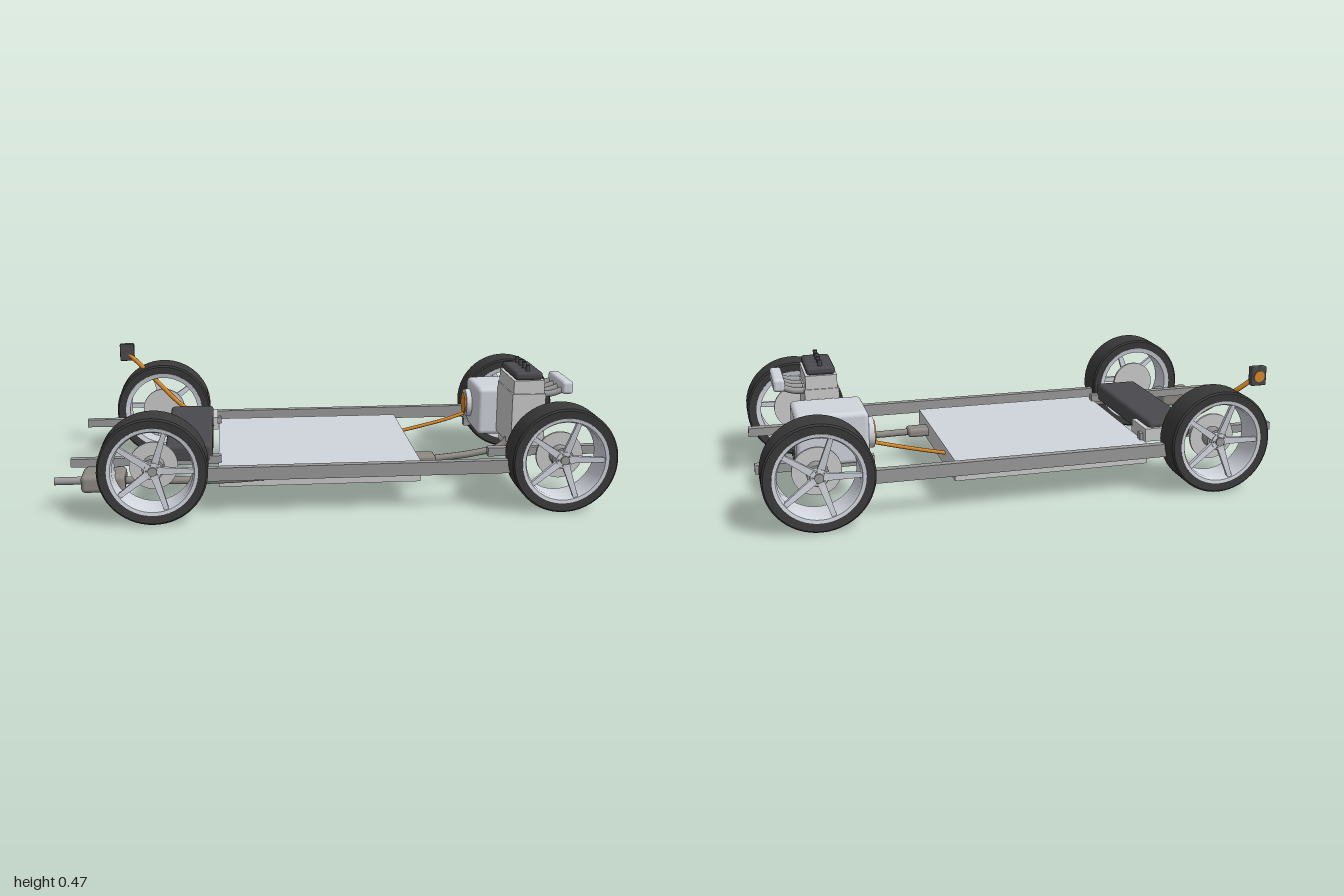
import * as THREE from 'three';
import { toCreasedNormals } from 'three/addons/utils/BufferGeometryUtils.js';
import { RoundedBoxGeometry } from 'three/addons/geometries/RoundedBoxGeometry.js';

const mat = (color) => new THREE.MeshStandardMaterial({ color });
const grey = mat(0xcccccc), steel = mat(0x9a9a9a), silver = mat(0xd0d4dc);
const dark = mat(0x4a4a4e), rubber = mat(0x3a3a3a), orange = mat(0xd8892a), pipeGrey = mat(0x8e8a84);

function add(parent, name, geometry, material, x = 0, y = 0, z = 0) {
  const m = new THREE.Mesh(geometry, material);
  m.name = name;
  m.position.set(x, y, z);
  parent.add(m);
  return m;
}

// Box given by its limits on each axis; r rounds the edges
function block(parent, name, [x0, x1], [y0, y1], [z0, z1], material, r = 0) {
  const size = [x1 - x0, y1 - y0, z1 - z0];
  const geo = r ? new RoundedBoxGeometry(...size, 3, r) : new THREE.BoxGeometry(...size);
  return add(parent, name, geo, material, (x0 + x1) / 2, (y0 + y1) / 2, (z0 + z1) / 2);
}

// Cylinder lying along x, y or z
function rod(parent, name, axis, r, length, material, x, y, z, sides = 24) {
  const geo = new THREE.CylinderGeometry(r, r, length, sides);
  if (axis === 'x') geo.rotateZ(Math.PI / 2);
  if (axis === 'z') geo.rotateX(Math.PI / 2);
  return add(parent, name, geo, material, x, y, z);
}

function tube(parent, name, points, r, material) {
  const curve = new THREE.CatmullRomCurve3(points.map((p) => new THREE.Vector3(...p)), false, 'centripetal');
  return add(parent, name, new THREE.TubeGeometry(curve, 40, r, 10), material);
}

// Ring turned about z from a closed (radius, z) profile
function turned(parent, name, profile, material) {
  const pts = [...profile, profile[0]].map(([r, z]) => new THREE.Vector2(r, z));
  const geo = new THREE.LatheGeometry(pts, 56);
  geo.rotateX(Math.PI / 2);
  return add(parent, name, toCreasedNormals(geo, 0.6), material);
}

// Wheel with its outer face towards +z
function makeWheel() {
  const wheel = new THREE.Group();
  wheel.name = 'wheel';
  turned(wheel, 'tyre', [[0.153, -0.058], [0.184, -0.061], [0.19, -0.055], [0.19, 0.055], [0.184, 0.061], [0.153, 0.058]], rubber);
  turned(wheel, 'rim', [[0.138, -0.056], [0.156, -0.06], [0.156, 0.06], [0.144, 0.058], [0.138, 0.045]], silver);
  // Five tapering spokes, sloping inwards to the hub
  const shape = new THREE.Shape([[0.02, -0.013], [0.147, -0.008], [0.147, 0.008], [0.02, 0.013]].map((p) => new THREE.Vector2(...p)));
  for (let i = 0; i < 5; i++) {
    const geo = new THREE.ExtrudeGeometry(shape, { depth: 0.014, bevelEnabled: false });
    const pos = geo.attributes.position;
    for (let k = 0; k < pos.count; k++) pos.setZ(k, pos.getZ(k) + 0.026 + 0.1 * pos.getX(k));
    geo.computeVertexNormals();
    add(wheel, 'spoke', geo, silver).rotation.z = (i * Math.PI * 2) / 5;
  }
  rod(wheel, 'hub', 'z', 0.03, 0.026, silver, 0, 0, 0.033);
  rod(wheel, 'hubCap', 'z', 0.016, 0.008, steel, 0, 0, 0.049);
  for (let i = 0; i < 5; i++) {
    const a = ((i + 0.5) * Math.PI * 2) / 5;
    rod(wheel, 'wheelNut', 'z', 0.004, 0.006, steel, 0.022 * Math.cos(a), 0.022 * Math.sin(a), 0.047, 6);
  }
  rod(wheel, 'brakeDisc', 'z', 0.085, 0.01, grey, 0, 0, -0.028, 40);
  rod(wheel, 'brakeHub', 'z', 0.038, 0.05, steel, 0, 0, 0);
  return wheel;
}

function addEngine(model) {
  const engine = new THREE.Group();
  engine.name = 'engine';
  model.add(engine);
  block(engine, 'engineBlock', [0.67, 0.795], [0.17, 0.37], [-0.018, 0.216], grey);
  block(engine, 'cylinderHead', [0.675, 0.79], [0.37, 0.42], [-0.013, 0.21], grey);
  block(engine, 'oilPan', [0.68, 0.785], [0.135, 0.17], [-0.013, 0.206], grey);
  block(engine, 'valveCover', [0.68, 0.785], [0.42, 0.45], [-0.01, 0.206], dark, 0.012);
  block(engine, 'intakePlenum', [0.862, 0.905], [0.362, 0.411], [0.002, 0.2], silver, 0.012);
  for (const z of [0.175, 0.122, 0.069, 0.016]) {
    rod(engine, 'ignitionCoil', 'y', 0.008, 0.03, dark, 0.733, 0.457, z, 16);
    tube(engine, 'intakeRunner', [[0.78, 0.36, z], [0.83, 0.363, z], [0.875, 0.378, z]], 0.012, steel);
  }
  rod(engine, 'crankPulley', 'z', 0.034, 0.018, steel, 0.733, 0.225, 0.22);
}

function addDriveUnit(model) {
  const unit = new THREE.Group();
  unit.name = 'driveUnit';
  model.add(unit);
  block(unit, 'motorHousing', [0.595, 0.852], [0.15, 0.338], [-0.246, -0.022], silver, 0.018);
  rod(unit, 'motorEnd', 'x', 0.056, 0.035, silver, 0.592, 0.243, -0.18, 32);
  rod(unit, 'copperWinding', 'x', 0.042, 0.008, orange, 0.573, 0.243, -0.18, 32);
  rod(unit, 'motorShaft', 'z', 0.009, 0.04, steel, 0.633, 0.248, -0.262);
  // Toothed drive gear
  rod(unit, 'driveGear', 'z', 0.044, 0.016, dark, 0.812, 0.173, -0.157, 32);
  for (let i = 0; i < 20; i++) {
    const a = (i * Math.PI) / 10;
    const tooth = add(unit, 'gearTooth', new THREE.BoxGeometry(0.01, 0.007, 0.016), dark,
      0.812 + 0.045 * Math.cos(a), 0.173 + 0.045 * Math.sin(a), -0.157);
    tooth.rotation.z = a;
  }
}

export function createModel() {
  const model = new THREE.Group();
  model.name = 'hybridChassis';

  // Wheels, two per axle, with dark drive shaft boots at the front
  for (const s of [1, -1]) {
    for (const x of [-0.645, 0.8]) {
      const wheel = makeWheel();
      wheel.position.set(x, 0.19, s * 0.426);
      if (s < 0) wheel.rotation.y = Math.PI;
      model.add(wheel);
    }
    rod(model, 'shaftBoot', 'z', 0.025, 0.05, dark, 0.8, 0.19, s * 0.352);

    // Frame rails
    block(model, 'sillRail', [-0.48, 0.635], [0.13, 0.178], [s * 0.4 - 0.014, s * 0.4 + 0.014], steel);
    block(model, 'rearRail', [-0.945, -0.41], [0.155, 0.185], [s * 0.273 - 0.014, s * 0.273 + 0.014], steel);
    block(model, 'frontRail', [0.58, 0.997], [0.14, 0.172], [s * 0.221 - 0.016, s * 0.221 + 0.016], steel);
  }
  rod(model, 'driveShaft', 'z', 0.009, 0.74, grey, 0.8, 0.192, 0);

  // Battery pack, fuel tank and charger
  block(model, 'batteryTray', [-0.42, 0.31], [0.083, 0.15], [-0.335, 0.335], grey);
  block(model, 'batteryLid', [-0.42, 0.31], [0.15, 0.159], [-0.335, 0.335], silver);
  block(model, 'fuelTank', [-0.61, -0.44], [0.158, 0.228], [-0.295, 0.288], dark, 0.016);
  block(model, 'charger', [-0.53, -0.422], [0.158, 0.207], [-0.309, -0.17], grey);

  addEngine(model);
  addDriveUnit(model);

  // Charging socket and high voltage cables
  const port = new THREE.Group();
  port.name = 'chargePort';
  port.position.set(-0.792, 0.423, -0.45);
  add(port, 'portHousing', new RoundedBoxGeometry(0.058, 0.07, 0.028, 2, 0.004), dark);
  rod(port, 'portSocket', 'z', 0.02, 0.008, orange, 0, 0, -0.014);
  model.add(port);
  tube(model, 'chargeCable', [[-0.785, 0.415, -0.445], [-0.74, 0.375, -0.425], [-0.64, 0.285, -0.36], [-0.58, 0.235, -0.315], [-0.52, 0.195, -0.28]], 0.009, orange);
  tube(model, 'motorCable', [[0.29, 0.13, -0.165], [0.4, 0.155, -0.165], [0.5, 0.18, -0.166], [0.6, 0.21, -0.176]], 0.007, orange);

  // Exhaust from the engine to the tailpipe
  tube(model, 'downPipe', [[0.69, 0.19, 0.125], [0.65, 0.148, 0.13], [0.55, 0.128, 0.145], [0.38, 0.118, 0.175]], 0.013, pipeGrey);
  block(model, 'catalyticConverter', [0.305, 0.39], [0.104, 0.138], [0.135, 0.203], pipeGrey, 0.012);
  tube(model, 'exhaustPipe', [[0.31, 0.12, 0.17], [-0.15, 0.12, 0.315], [-0.4, 0.12, 0.365], [-0.76, 0.128, 0.365]], 0.014, pipeGrey);
  block(model, 'silencer', [-0.898, -0.745], [0.097, 0.16], [0.293, 0.415], pipeGrey, 0.016);
  rod(model, 'tailpipe', 'x', 0.014, 0.12, steel, -0.94, 0.117, 0.322);
  return model;
}
